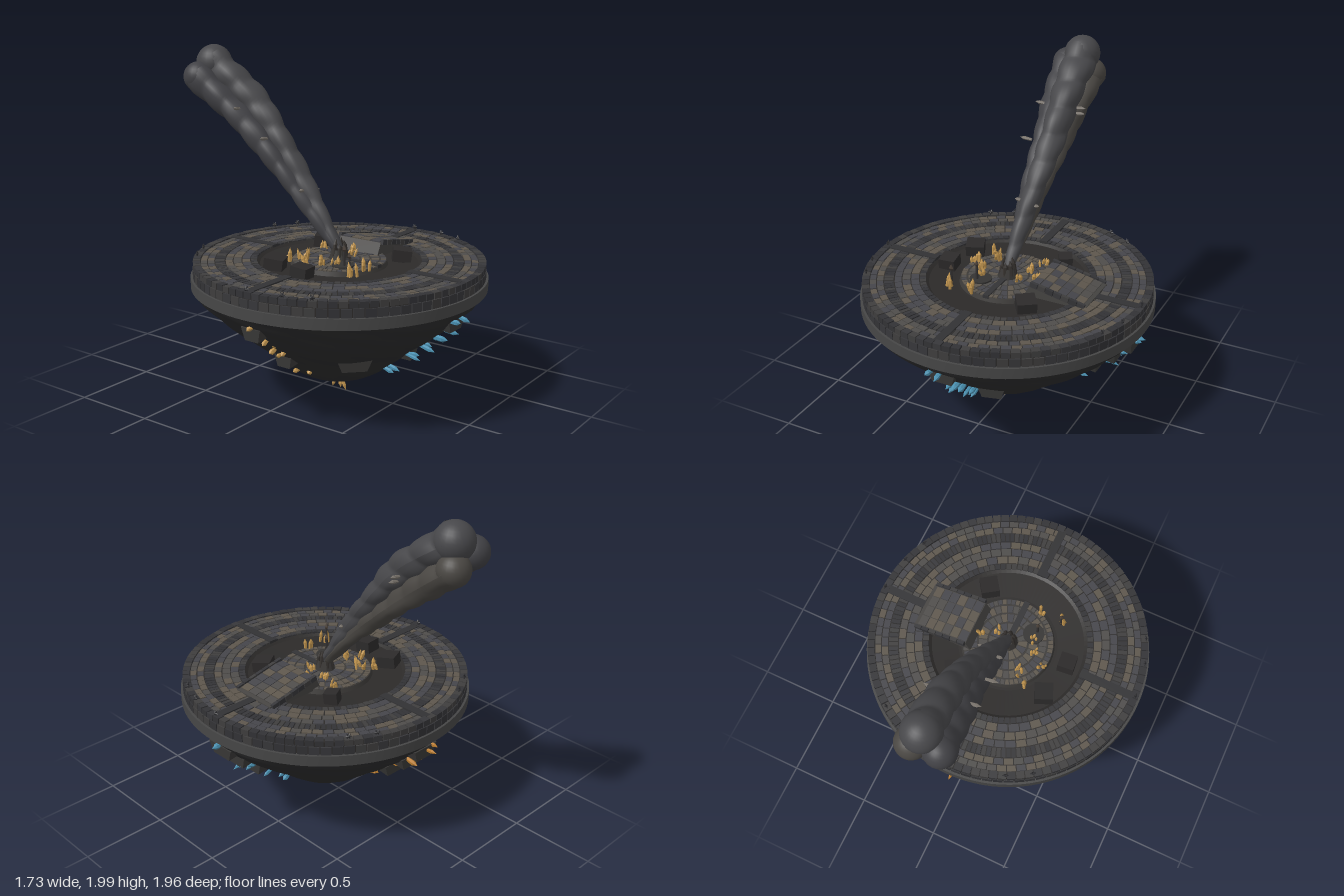
import * as THREE from 'three';
import { mergeGeometries } from 'three/addons/utils/BufferGeometryUtils.js';

const CZ = 0.117; // island axis
const STONE = [0x5d564c, 0x4e4c4a, 0x45454a];
const DARK = [0x37373a, 0x3e3d3d, 0x323235];
const AMBER = 0xc0944e, ORANGE = 0xb87a2c, BLUE = 0x4a90b0;

let seed = 7;
const rnd = () => (seed = (seed * 16807) % 2147483647) / 2147483647;
const range = (a, b) => a + (b - a) * rnd();

function add(parent, name, geo, color, flat = false, side = THREE.FrontSide) {
  const mat = new THREE.MeshStandardMaterial({ color, flatShading: flat, side, roughness: 0.9 });
  const m = new THREE.Mesh(geo, mat);
  m.name = name;
  parent.add(m);
  return m;
}

// Curved block between two radii, two angles and two heights
function wedge(r0, r1, a0, a1, y0, y1, n = 1) {
  const g = new THREE.BoxGeometry(1, 1, 1, n, 1, 1), p = g.attributes.position;
  for (let i = 0; i < p.count; i++) {
    const a = a0 + (p.getX(i) + 0.5) * (a1 - a0), r = r0 + (p.getZ(i) + 0.5) * (r1 - r0);
    p.setXYZ(i, r * Math.sin(a), y0 + (p.getY(i) + 0.5) * (y1 - y0), r * Math.cos(a));
  }
  g.computeVertexNormals();
  return g;
}

// Ring of blocks in mixed shades, with open joints
function blockRing(parent, name, r0, r1, y0, y1, count, colors, gap = 0.006) {
  const sets = colors.map(() => []), shift = rnd();
  for (let i = 0; i < count; i++) {
    const da = Math.PI * 2 / count, a = (i + shift) * da, h = gap / (r0 + r1);
    sets[Math.floor(rnd() * colors.length)].push(
      wedge(r0 + gap / 2, r1 - gap / 2, a + h, a + da - h, y0, y1 - rnd() * 0.004));
  }
  sets.forEach((s, i) => s.length && add(parent, name, mergeGeometries(s), colors[i]));
}

// Pointed six-sided crystal, base at p, pointing along dir
function crystal(p, dir, len, r) {
  const prof = [[0, 0], [r * 0.8, 0], [r, len * 0.65], [0, len]].map(q => new THREE.Vector2(...q));
  const g = new THREE.LatheGeometry(prof, 6);
  g.applyQuaternion(new THREE.Quaternion().setFromUnitVectors(new THREE.Vector3(0, 1, 0), dir.clone().normalize()));
  return g.translate(p.x, p.y, p.z);
}
const V = (x, y, z) => new THREE.Vector3(x, y, z);

// Underside profile: radius, height
const BOWL = [[0, 0.07], [0.06, 0.075], [0.13, 0.1], [0.25, 0.155], [0.36, 0.235], [0.46, 0.32],
  [0.57, 0.4], [0.68, 0.49], [0.76, 0.57], [0.81, 0.62], [0.85, 0.675]];
function bowlRadius(y) {
  const i = Math.max(1, BOWL.findIndex(b => b[1] >= y));
  const [r0, y0] = BOWL[i - 1], [r1, y1] = BOWL[i];
  return r0 + (r1 - r0) * (y - y0) / (y1 - y0);
}

function buildUnderside(island) {
  const curve = new THREE.SplineCurve(BOWL.map(b => new THREE.Vector2(...b)));
  const g = new THREE.LatheGeometry(curve.getPoints(30), 72), p = g.attributes.position;
  for (let i = 0; i < p.count; i++) {
    const x = p.getX(i), y = p.getY(i), z = p.getZ(i), a = Math.atan2(x, z);
    const k = 1 + 0.012 * Math.sin(a * 7 + y * 22) * Math.sin(y * 31 + a * 4) * (y < 0.64 ? 1 : 0);
    p.setXYZ(i, x * k, y, z * k);
  }
  g.computeVertexNormals();
  add(island, 'rockUnderside', g, 0x2b2b2c, false, THREE.DoubleSide);

  // Jutting ledges: angle, height, width
  const ledges = [];
  for (const [a, y, w] of [[90, 0.59, 0.19], [90, 0.49, 0.17], [90, 0.4, 0.18], [180, 0.59, 0.18], [180, 0.49, 0.17],
    [180, 0.4, 0.2], [0, 0.58, 0.17], [-45, 0.36, 0.2], [15, 0.31, 0.16], [-90, 0.58, 0.13], [-90, 0.35, 0.12]]) {
    const b = new THREE.BoxGeometry(w, 0.075, 0.15), q = b.attributes.position;
    for (let i = 0; i < q.count; i++) if (q.getY(i) < 0) q.setX(i, q.getX(i) * 0.7);
    const out = Math.abs(a) === 90 || a === 180 ? 0.045 : 0.06;
    b.rotateX(0.12).translate(0, y, bowlRadius(y) - out).rotateY(a * Math.PI / 180);
    ledges.push(b);
  }
  add(island, 'rockLedges', mergeGeometries(ledges), 0x3a3938, true);

  // Crystals growing down four sides and at the tip
  for (const [deg, color] of [[0, BLUE], [90, BLUE], [180, ORANGE], [-90, AMBER]]) {
    const list = [];
    for (const y of [0.61, 0.53, 0.46, 0.42, 0.34, 0.24]) for (let k = 0; k < 2; k++) {
      const a = deg * Math.PI / 180 + range(-0.06, 0.06) / bowlRadius(y), r = bowlRadius(y) - 0.02;
      const d = V(Math.sin(a), range(-0.45, 0.1), Math.cos(a));
      list.push(crystal(V(r * Math.sin(a), y + range(-0.02, 0.02), r * Math.cos(a)), d,
        (deg === -90 ? 0.05 : range(0.06, 0.1)), range(0.011, 0.018)));
    }
    add(island, 'slopeCrystals', mergeGeometries(list), color, true);
  }
  const tip = [0, 1, 2, 3, 4].map(i => crystal(V(0.02 * Math.sin(i * 1.4), 0.085, 0.02 * Math.cos(i * 1.4)),
    V(0.4 * Math.sin(i * 1.4), -1, 0.4 * Math.cos(i * 1.4)), i ? 0.06 : 0.085, 0.011));
  add(island, 'tipCrystals', mergeGeometries(tip), AMBER, true);
}

function buildTop(island) {
  // Skirt and bed under the paving
  const bed = [[0.85, 0.672], [0.858, 0.675], [0.858, 0.73], [0.838, 0.735], [0.838, 0.808], [0.48, 0.808],
    [0.46, 0.795], [0.3, 0.785], [0, 0.785]].map(q => new THREE.Vector2(...q));
  add(island, 'discBed', new THREE.LatheGeometry(bed, 96), 0x2c2a29, true);
  add(island, 'skirt', wedge(0.8, 0.86, 0, Math.PI * 2, 0.672, 0.735, 96), 0x464646);
  blockRing(island, 'rimWallLower', 0.79, 0.85, 0.735, 0.785, 84, DARK);
  blockRing(island, 'rimWallUpper', 0.8, 0.848, 0.787, 0.824, 100, DARK);
  // Paving rows from the pit outward
  const rows = [[0.475, 0.515, 90, DARK], [0.515, 0.565, 52, STONE], [0.565, 0.615, 58, STONE], [0.615, 0.66, 64, STONE],
    [0.66, 0.72, 150, DARK], [0.72, 0.762, 80, STONE], [0.762, 0.802, 86, STONE]];
  for (const [r0, r1, n, c] of rows) blockRing(island, 'paving', r0, r1, 0.79, 0.818, n, c);
  // Four radial channels
  for (let i = 0; i < 4; i++) {
    const g = new THREE.BoxGeometry(0.05, 0.02, 0.34).translate(0, 0.812, 0.645).rotateY(i * Math.PI / 2);
    add(island, 'radialChannel', g, 0x323234);
  }
  // Round platform in the pit
  add(island, 'platform', new THREE.CylinderGeometry(0.275, 0.285, 0.03, 48).translate(0, 0.795, 0), 0x3c3a38);
  [[0.06, 0.12, 16], [0.125, 0.18, 26], [0.185, 0.235, 36], [0.24, 0.275, 60]].forEach(([a, b, n]) =>
    blockRing(island, 'platformPaving', a, b, 0.8, 0.817, n, STONE));
  add(island, 'platformStrip', new THREE.BoxGeometry(0.035, 0.02, 0.24).translate(0, 0.812, 0.16), 0x343436);
  add(island, 'platformHatch', new THREE.CylinderGeometry(0.065, 0.065, 0.02, 24).translate(-0.12, 0.813, 0.11), 0x353433);
  // Fallen boulders
  for (const [x, z, s, r] of [[0.23, -0.3, 0.08, 0.5], [-0.38, 0.02, 0.1, 0.1], [0.25, 0.27, 0.11, 0.6], [-0.33, -0.21, 0.11, 0.4]])
    add(island, 'boulder', new THREE.BoxGeometry(s, 0.07, s).rotateX(0.12).rotateY(r).translate(x, 0.825, z), 0x2c2a2a, true);
  // Small spiked studs round the rim
  for (const a of [24, 35, 90, 145, 156, -24, -35, -90, -145, -156]) {
    const t = (a + (Math.abs(a) < 90 ? 40 : 0) * Math.sign(a)) * Math.PI / 180;
    const g = mergeGeometries([0, 1, 2].map(i => new THREE.OctahedronGeometry(0.016).scale(1.3, 0.6, 0.6).rotateZ(i * Math.PI / 3)));
    add(island, 'rimStud', g.rotateY(t).translate(0.828 * Math.sin(t), 0.835, 0.828 * Math.cos(t)), 0x303033, true);
  }
}

function buildRamp(island) {
  // Sloping paved ramp on the left, with low kerbs
  const s = new THREE.Shape([[0.175, 0.8], [0.215, 0.882], [0.27, 0.882], [0.56, 0.822], [0.56, 0.8]].map(q => new THREE.Vector2(...q)));
  const ramp = new THREE.Group();
  ramp.name = 'ramp';
  ramp.position.z = 0;
  island.add(ramp);
  const body = new THREE.ExtrudeGeometry(s, { depth: 0.29, bevelEnabled: false }).translate(0, 0, -0.145);
  add(ramp, 'rampBody', body, 0x454341);
  const tilt = -Math.atan2(0.06, 0.29);
  for (let i = 0; i < 6; i++) for (let j = 0; j < 4; j++) {
    const x = 0.243 + i * 0.054, y = Math.min(0.882, 0.882 - (x - 0.27) * 0.207);
    add(ramp, 'rampPaver', new THREE.BoxGeometry(0.049, 0.01, 0.063).rotateZ(i ? tilt : 0)
      .translate(x, y + 0.001, -0.102 + j * 0.068), STONE[Math.floor(rnd() * 3)]);
  }
  for (const z of [-0.15, 0.15]) for (let i = 0; i < 7; i++)
    add(ramp, 'rampKerb', new THREE.BoxGeometry(0.044, 0.03, 0.02).rotateZ(tilt)
      .translate(0.24 + i * 0.048, 0.882 - i * 0.0095, z), DARK[i % 3]);
}

function buildCentre(island) {
  // Crystal clusters on the platform: x, z, count
  const list = [];
  for (const [x, z, n] of [[-0.22, -0.21, 4], [-0.14, -0.16, 5], [-0.25, -0.06, 4], [-0.17, 0, 5], [-0.14, 0.07, 4], [-0.25, 0.26, 5],
    [-0.1, 0.27, 4], [0.13, -0.2, 4], [0.1, -0.1, 4], [0.16, -0.03, 4], [0.07, 0.04, 3]])
    for (let i = 0; i < n; i++)
      list.push(crystal(V(x + range(-0.025, 0.025), 0.805, z + range(-0.025, 0.025)),
        V(range(-0.3, 0.3), 1, range(-0.3, 0.3)), range(0.04, x < 0 ? 0.09 : 0.065), range(0.007, 0.013)));
  add(island, 'platformCrystals', mergeGeometries(list), AMBER, true);
  // Two thin lantern posts
  for (const [x, z] of [[-0.24, 0.24], [-0.135, 0.13]]) {
    add(island, 'lanternPost', new THREE.CylinderGeometry(0.006, 0.009, 0.1, 6).translate(x, 0.86, z), 0x353333);
    add(island, 'lanternHead', new THREE.OctahedronGeometry(0.014).scale(1, 1.8, 1).translate(x, 0.917, z), 0x4a4038, true);
  }
  // Broken vent mouth
  add(island, 'vent', new THREE.CylinderGeometry(0.045, 0.06, 0.06, 10, 1, true).translate(0, 0.84, 0), 0x3a3836, true, THREE.DoubleSide);
  const teeth = [0, 1, 2, 3, 4, 5, 6].map(i => crystal(V(0.045 * Math.sin(i * 0.9), 0.83, 0.045 * Math.cos(i * 0.9)),
    V(-0.2 * Math.sin(i * 0.9), 1, -0.2 * Math.cos(i * 0.9)), 0.08 + 0.015 * (i % 3), 0.013));
  add(island, 'ventTeeth', mergeGeometries(teeth), 0x35312e, true);
}

// Lumpy strand of smoke whose radius swells from r0 to r1, closed by a ball
function smokeStrand(parent, pts, r0, r1, phase, color) {
  const path = new THREE.CatmullRomCurve3(pts.map(p => V(...p))), n = 90, m = 20;
  const g = new THREE.TubeGeometry(path, n, 1, m), p = g.attributes.position, v = V();
  for (let i = 0; i <= n; i++) {
    const t = i / n, c = path.getPointAt(t), base = r0 + (r1 - r0) * Math.pow(t, 0.8);
    for (let j = 0; j <= m; j++) {
      const k = i * (m + 1) + j, a = j / m * Math.PI * 2;
      const lump = 0.9 + 0.14 * Math.abs(Math.sin(t * 26 + phase + Math.sin(a + phase))) + 0.05 * Math.sin(3 * a + t * 15);
      v.fromBufferAttribute(p, k).sub(c).multiplyScalar(base * lump).add(c);
      p.setXYZ(k, v.x, v.y, v.z);
    }
  }
  g.computeVertexNormals();
  add(parent, 'smokeStrand', g, color, false, THREE.DoubleSide);
  const e = pts[pts.length - 1];
  add(parent, 'smokeHead', new THREE.SphereGeometry(r1 * 1.04, 24, 16).translate(...e), color);
}

function buildPlume(root) {
  const plume = new THREE.Group();
  plume.name = 'smokePlume';
  root.add(plume);
  smokeStrand(plume, [[0, 0.87, 0.11], [0.015, 1.13, -0.08], [0.035, 1.4, -0.3], [0.04, 1.66, -0.53], [0.02, 1.89, -0.84]], 0.028, 0.105, 0, 0x47474a);
  smokeStrand(plume, [[0, 0.87, 0.1], [-0.02, 1.12, -0.12], [-0.035, 1.36, -0.34], [-0.06, 1.59, -0.58], [-0.09, 1.81, -0.87]], 0.028, 0.088, 2, 0x414145);
  smokeStrand(plume, [[0, 0.87, 0.1], [0.02, 1.12, -0.13], [0.035, 1.35, -0.38], [0.05, 1.54, -0.6], [0.065, 1.76, -0.88]], 0.026, 0.088, 4, 0x4a4743);
  // Shards carried in the smoke
  const shards = [[0.1, 1.64, -0.56, 1], [0.1, 1.61, -0.55, 1], [-0.08, 1.48, -0.35, -1], [-0.08, 1.64, -0.55, -1],
    [0.05, 1.18, -0.1, 1], [-0.03, 1.19, -0.12, -1]].map(([x, y, z, s], i) =>
    crystal(V(x, y, z), V(s, 0.12, 0.1), i < 4 ? 0.075 : 0.045, 0.011));
  add(plume, 'smokeShards', mergeGeometries(shards), 0x77716a, true);
}

export function createModel() {
  seed = 7;
  const root = new THREE.Group(), island = new THREE.Group();
  island.name = 'floatingIsland';
  island.position.z = CZ;
  root.add(island);
  buildUnderside(island);
  buildTop(island);
  buildRamp(island);
  buildCentre(island);
  buildPlume(root);
  return root;
}
